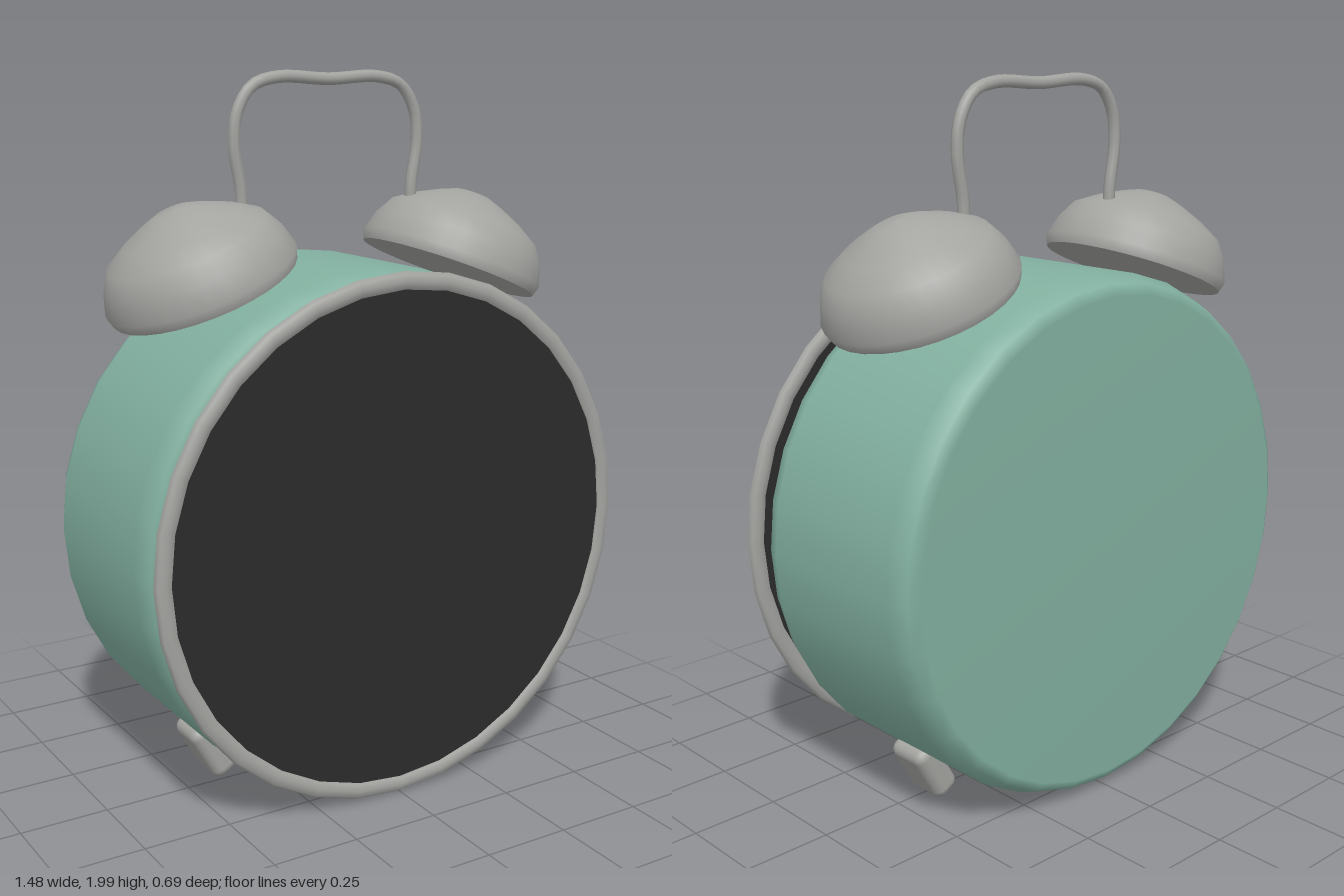
import * as THREE from 'three';
import { RoundedBoxGeometry } from 'three/addons/geometries/RoundedBoxGeometry.js';

const material = (name, color) => {
  const m = new THREE.MeshStandardMaterial({ color });
  m.name = name;
  return m;
};

// Surface of revolution; profile is [radius, height] from bottom to top
const lathe = (profile, segments) =>
  new THREE.LatheGeometry(profile.map(([r, h]) => new THREE.Vector2(r, h)), segments);

export function createModel() {
  const green = material('green enamel', 0x82b0a0);
  const metal = material('grey metal', 0xa3a4a0);
  const black = material('black dial', 0x2b2b2b);

  const clock = new THREE.Group();
  clock.name = 'alarmClock';
  const centreY = 0.75;

  const add = (name, geometry, mat, parent = clock) => {
    const mesh = new THREE.Mesh(geometry, mat);
    mesh.name = name;
    parent.add(mesh);
    return mesh;
  };

  // Drum body with softly chamfered ends, axis along z
  const body = add('body', lathe([
    [0, -0.345], [0.685, -0.345], [0.715, -0.325], [0.737, -0.27],
    [0.737, 0.2], [0.715, 0.255], [0.68, 0.28], [0, 0.28],
  ], 32).rotateX(Math.PI / 2), green);
  body.position.y = centreY;

  // Thin dial held inside the rim, floating just ahead of the body
  const dial = add('dial', lathe([
    [0, 0.322], [0.69, 0.322], [0.7, 0.33], [0.69, 0.336], [0, 0.336],
  ], 32).rotateX(Math.PI / 2), black);
  dial.position.y = centreY;

  // Flattened rim around the dial
  const rim = add('rim', new THREE.TorusGeometry(0.714, 0.026, 8, 32).scale(1, 1, 0.6), metal);
  rim.position.set(0, centreY, 0.329);

  for (const side of [-1, 1]) {
    const label = side > 0 ? 'left' : 'right';

    // Tilted bell with a closed underside
    const bell = new THREE.Group();
    bell.name = label + 'Bell';
    bell.position.set(side * 0.4, 1.43, -0.032);
    bell.rotation.z = -side * 0.388;
    add('bellDome', lathe([
      [0.263, 0], [0.273, 0.03], [0.254, 0.09], [0.224, 0.14],
      [0.165, 0.178], [0.1, 0.21], [0.055, 0.228], [0, 0.235],
    ], 32), metal, bell);
    add('bellUnderside', new THREE.CircleGeometry(0.263, 32).rotateX(Math.PI / 2), metal, bell);
    clock.add(bell);

    // Stubby foot leaning inward
    const foot = add(label + 'Foot', new RoundedBoxGeometry(0.08, 0.18, 0.135, 3, 0.028), metal);
    foot.position.set(side * 0.428, 0.118, -0.03);
    foot.rotation.z = -side * 0.52;
  }

  // Carrying handle, mirrored from one half of its path
  const half = [[0.275, 1.6], [0.277, 1.68], [0.295, 1.8], [0.285, 1.89], [0.24, 1.958], [0.16, 1.982]];
  const path = [
    ...half.map(([x, y]) => [-x, y]), [0, 1.976],
    ...half.slice().reverse(),
  ].map(([x, y]) => new THREE.Vector3(x, y, -0.05));
  add('handle', new THREE.TubeGeometry(new THREE.CatmullRomCurve3(path), 48, 0.017, 8), metal);

  return clock;
}
